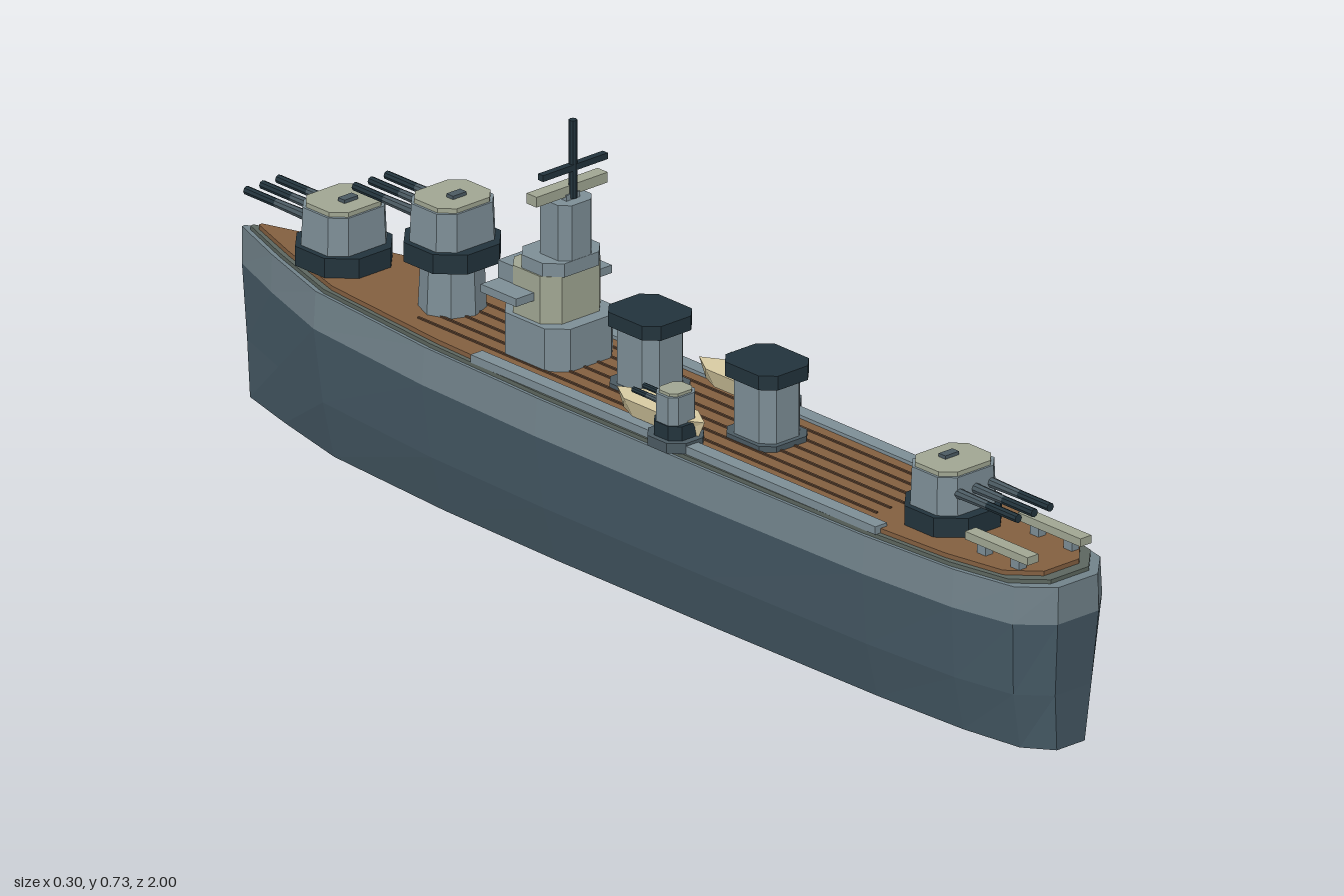
import * as THREE from 'three';

const mat = (name, color) => {
  const m = new THREE.MeshStandardMaterial({ color, flatShading: true });
  m.name = name;
  return m;
};

// Closed solid through stacked rings; every ring is an anticlockwise list of [x, y, z].
function loft(rings) {
  const pos = [];
  const n = rings[0].length;
  const tri = (...p) => p.forEach(v => pos.push(...v));
  for (let k = 0; k < rings.length - 1; k++) {
    const lo = rings[k], hi = rings[k + 1];
    for (let i = 0; i < n; i++) {
      const j = (i + 1) % n;
      tri(lo[i], lo[j], hi[j]);
      tri(lo[i], hi[j], hi[i]);
    }
  }
  const bottom = rings[0], top = rings[rings.length - 1];
  for (let i = 1; i < n - 1; i++) {
    tri(bottom[0], bottom[i + 1], bottom[i]);
    tri(top[0], top[i], top[i + 1]);
  }
  const g = new THREE.BufferGeometry();
  g.setAttribute('position', new THREE.Float32BufferAttribute(pos, 3));
  g.computeVertexNormals();
  return g;
}

// Box with cut vertical corners, standing on y = 0, optionally narrower at the top.
function cutBox(w, h, d, c, taper = 1) {
  const x = w / 2, z = d / 2;
  const plan = [[x - c, z], [x, z - c], [x, c - z], [x - c, -z], [c - x, -z], [-x, c - z], [-x, z - c], [c - x, z]];
  return loft([plan.map(p => [p[0], 0, p[1]]), plan.map(p => [p[0] * taper, h, p[1] * taper])]);
}

export function createModel() {
  const M = {
    hullLower: mat('lower hull blue', 0x465a66),
    hull: mat('upper hull grey', 0x71828a),
    margin: mat('deck margin olive', 0x5c665f),
    deck: mat('deck wood', 0x835f40),
    seam: mat('plank seam', 0x5c4330),
    steel: mat('superstructure grey', 0x7d8e96),
    pale: mat('pale grey', 0xa0a692),
    dark: mat('dark steel', 0x22333c),
    gun: mat('gun grey', 0x4b5a62),
    cream: mat('boat cream', 0xd8cba2),
  };
  const ship = new THREE.Group();
  ship.name = 'warship';
  const add = (parent, name, geo, material, x = 0, y = 0, z = 0) => {
    const m = new THREE.Mesh(geo, material);
    m.name = name;
    m.position.set(x, y, z);
    parent.add(m);
    return m;
  };
  const group = (name, x, y, z) => {
    const g = new THREE.Group();
    g.name = name;
    g.position.set(x, y, z);
    ship.add(g);
    return g;
  };
  const box = (w, h, d) => new THREE.BoxGeometry(w, h, d);

  // Hull plan, stern to bow, mirrored to the other side
  const side = [[0.045, 1], [0.098, 0.95], [0.122, 0.83], [0.135, 0.63], [0.14, 0.25], [0.14, -0.15],
    [0.131, -0.43], [0.103, -0.72], [0.05, -0.88], [0.004, -1]];
  const plan = [...side, ...side.slice().reverse().map(([x, z]) => [-x, z])];
  const ring = (y, sx, sz) => plan.map(([x, z]) => [x * sx, y, z * sz]);
  add(ship, 'lowerHull', loft([ring(0, 0.68, 0.982), ring(0.1, 0.88, 0.988), ring(0.23, 1, 1)]), M.hullLower);
  add(ship, 'upperHull', loft([ring(0.23, 1, 1), ring(0.295, 0.96, 1)]), M.hull);
  add(ship, 'deckMargin', loft([ring(0.295, 0.92, 0.98), ring(0.302, 0.92, 0.98)]), M.margin);
  add(ship, 'deck', loft([ring(0.302, 0.86, 0.96), ring(0.31, 0.86, 0.96)]), M.deck);
  for (const x of [-0.075, -0.045, -0.015, 0.015, 0.045, 0.075])
    add(ship, 'plankSeam', box(0.004, 0.003, 1.1), M.seam, x, 0.311, 0.05);
  for (const s of [-1, 1])
    add(ship, 'sideWalkway', box(0.026, 0.014, 0.97), M.steel, s * 0.112, 0.309, 0.165);

  // Main turrets, modelled with guns towards +z
  const barrel = (parent, x, y, z, length, r) => {
    const sleeve = length * 0.5;
    const a = add(parent, 'barrelSleeve', new THREE.CylinderGeometry(r, r * 1.2, sleeve, 8), M.gun, x, y, z + sleeve / 2);
    const b = add(parent, 'barrelMuzzle', new THREE.CylinderGeometry(r, r, length - sleeve, 8), M.dark, x, y, z + (length + sleeve) / 2);
    a.rotation.x = b.rotation.x = Math.PI / 2;
  };
  const turret = (name, y, z, facing, raised) => {
    const g = group(name, 0, y, z);
    g.rotation.y = facing > 0 ? 0 : Math.PI;
    if (raised) add(g, 'barbette', new THREE.CylinderGeometry(0.052, 0.056, 0.09, 8), M.steel, 0, -0.045, 0);
    add(g, 'turretRing', cutBox(0.15, 0.034, 0.15, 0.04), M.dark);
    add(g, 'gunHouse', cutBox(0.13, 0.066, 0.112, 0.024, 0.96), M.steel, 0, 0.034, 0);
    add(g, 'turretRoof', cutBox(0.116, 0.009, 0.1, 0.022), M.pale, 0, 0.099, 0);
    add(g, 'roofHatch', box(0.03, 0.008, 0.016), M.gun, 0, 0.11, -0.01);
    for (const x of [-0.035, 0, 0.035]) barrel(g, x, 0.071, 0.05, 0.145, 0.0075);
  };
  turret('sternTurret', 0.31, 0.7, 1, false);
  turret('bowTurret', 0.31, -0.76, -1, false);
  turret('raisedBowTurret', 0.398, -0.5, -1, true);

  // Funnels
  for (const z of [-0.035, 0.245]) {
    const g = group('funnel', 0.008, 0.31, z);
    add(g, 'funnelBase', cutBox(0.106, 0.01, 0.118, 0.02), M.gun);
    add(g, 'funnelCasing', cutBox(0.09, 0.11, 0.1, 0.02), M.steel);
    add(g, 'funnelCap', cutBox(0.11, 0.025, 0.125, 0.022), M.dark, 0, 0.11, 0);
  }

  // Bridge tower
  const bridge = group('bridge', 0, 0, -0.245);
  add(bridge, 'bridgeBase', cutBox(0.15, 0.075, 0.155, 0.03), M.steel, 0, 0.31, 0);
  add(bridge, 'bridgeHouse', cutBox(0.132, 0.083, 0.115, 0.025), M.pale, 0, 0.385, -0.005);
  add(bridge, 'bridgeWings', box(0.21, 0.014, 0.085), M.steel, 0, 0.428, -0.03);
  add(bridge, 'bridgeFront', box(0.13, 0.035, 0.04), M.steel, 0, 0.448, -0.055);
  add(bridge, 'bridgeWindows', box(0.11, 0.012, 0.006), M.dark, 0, 0.45, -0.076);
  add(bridge, 'upperBridge', cutBox(0.126, 0.024, 0.1, 0.025), M.steel, 0, 0.467, 0.005);
  add(bridge, 'tower', cutBox(0.074, 0.1, 0.075, 0.016), M.steel, 0, 0.488, 0.017);
  add(bridge, 'rangefinderPost', box(0.03, 0.012, 0.03), M.steel, 0, 0.592, 0.02);
  add(bridge, 'rangefinder', box(0.156, 0.018, 0.024), M.pale, 0, 0.603, 0.02);
  add(bridge, 'mast', new THREE.CylinderGeometry(0.007, 0.007, 0.137, 8), M.dark, 0, 0.659, 0.034);
  add(bridge, 'yard', box(0.142, 0.011, 0.012), M.dark, 0, 0.645, 0.034);

  for (const s of [-1, 1]) {
    // Secondary guns on side platforms
    const g = group('secondaryGun', s * 0.107, 0.303, 0.152);
    add(g, 'gunPlatform', cutBox(0.082, 0.018, 0.09, 0.022), M.gun);
    add(g, 'gunPedestal', cutBox(0.064, 0.025, 0.066, 0.016), M.dark, 0, 0.018, 0);
    add(g, 'gunShield', cutBox(0.06, 0.05, 0.052, 0.012), M.steel, 0, 0.042, 0);
    add(g, 'gunRoof', cutBox(0.05, 0.006, 0.044, 0.01), M.pale, 0, 0.091, 0);
    const guns = new THREE.Group();
    guns.name = 'secondaryBarrels';
    guns.rotation.y = Math.PI;
    g.add(guns);
    for (const x of [-0.012, 0.012]) barrel(guns, x, 0.07, 0.02, 0.068, 0.005);

    // Ship's boats with pointed ends
    const boat = [[0, 0.105], [0.027, 0.06], [0.027, -0.06], [0, -0.105], [-0.027, -0.06], [-0.027, 0.06]];
    add(ship, 'boat', loft([boat.map(([x, z]) => [x * 0.6, 0, z * 0.85]), boat.map(([x, z]) => [x, 0.032, z])]),
      M.cream, s * 0.09, 0.317, 0.098);

    // Stern catapults
    const c = group('catapult', s * 0.058, 0.31, 0.88);
    add(c, 'catapultBeam', box(0.024, 0.014, 0.15), M.pale, 0, 0.024, 0);
    for (const z of [-0.04, 0.04]) add(c, 'catapultPost', box(0.016, 0.018, 0.02), M.steel, 0, 0.009, z);
  }
  return ship;
}
